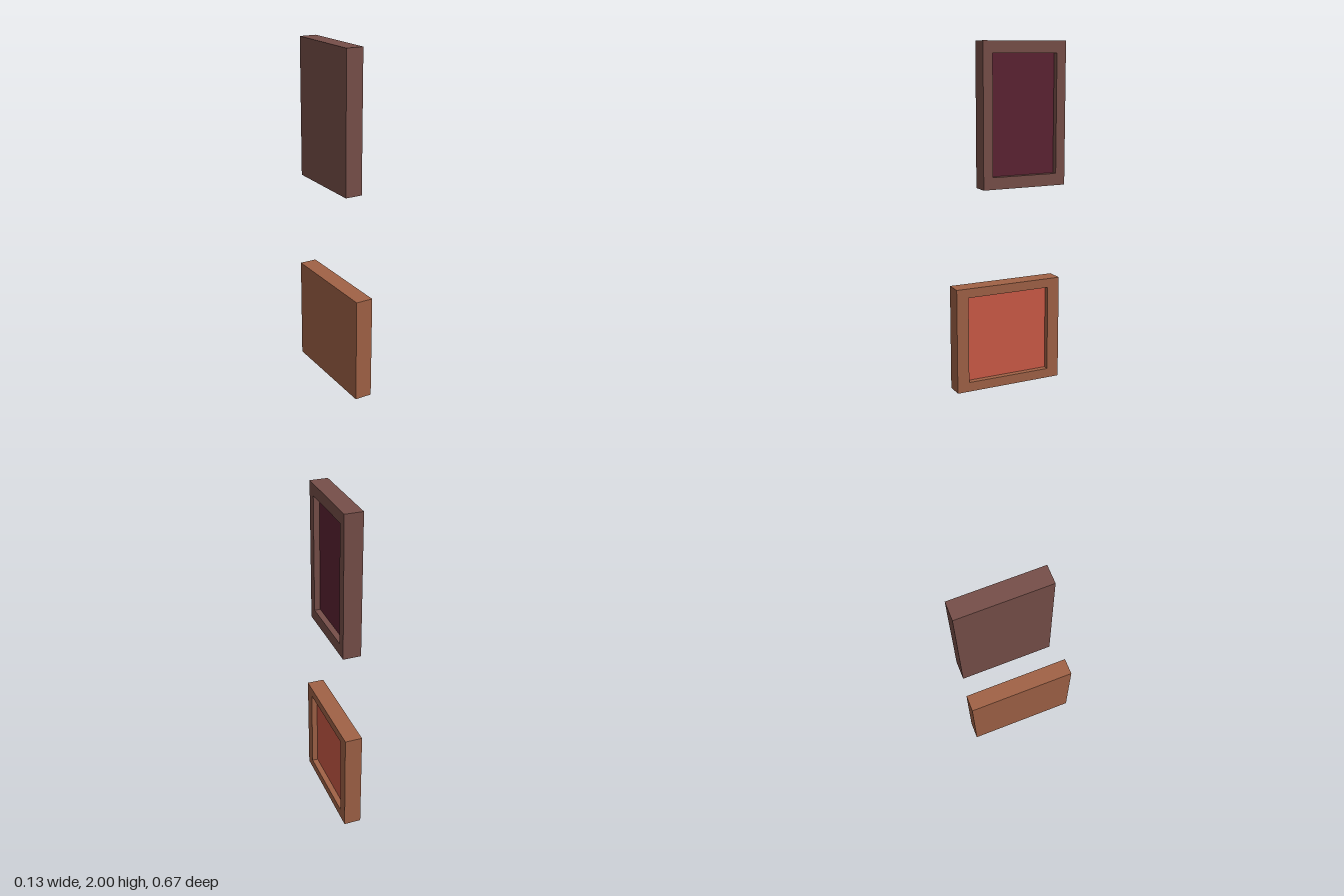
import * as THREE from 'three';

// Rectangle in the plane x, corners counter-clockwise as seen from +x
const ring = (x, { z0, z1, y0, y1 }) => [
  [x, y0, z1], [x, y0, z0], [x, y1, z0], [x, y1, z1],
];

// Build flat-shaded quads, each given as four counter-clockwise corners
function quadMesh(quads, color, name) {
  const points = quads.flatMap(([a, b, c, d]) => [a, b, c, a, c, d]).flat();
  const geometry = new THREE.BufferGeometry();
  geometry.setAttribute('position', new THREE.Float32BufferAttribute(points, 3));
  geometry.computeVertexNormals();
  const mesh = new THREE.Mesh(geometry, new THREE.MeshStandardMaterial({ color }));
  mesh.name = name;
  return mesh;
}

// A solid-backed frame facing +x with a coloured panel set into its recess
function framedPanel({ name, back, front, recess, outer, inner, frameColor, panelColor }) {
  const group = new THREE.Group();
  group.name = name;

  // Back edge, front edge, lip of the opening, bottom of the recess
  const rings = [
    ring(back, outer), ring(front, outer),
    ring(front, inner), ring(front - recess, inner),
  ];
  const quads = [[...rings[0]].reverse()]; // closed back
  for (let r = 0; r < 3; r++) {
    for (let i = 0; i < 4; i++) {
      const j = (i + 1) % 4;
      quads.push([rings[r][i], rings[r][j], rings[r + 1][j], rings[r + 1][i]]);
    }
  }
  group.add(quadMesh(quads, frameColor, name + 'Frame'));
  group.add(quadMesh([rings[3]], panelColor, name + 'Panel'));
  return group;
}

export function createModel() {
  const model = new THREE.Group();
  model.name = 'framedPanels';

  // Tall upper frame
  model.add(framedPanel({
    name: 'upper',
    back: -0.04, front: 0.063, recess: 0.034,
    outer: { z0: -0.336, z1: 0.176, y0: 1.181, y1: 2 },
    inner: { z0: -0.279, z1: 0.119, y0: 1.25, y1: 1.933 },
    frameColor: 0x774f49, panelColor: 0x5c2333,
  }));

  // Squarer lower frame
  model.add(framedPanel({
    name: 'lower',
    back: -0.063, front: 0.039, recess: 0.034,
    outer: { z0: -0.321, z1: 0.336, y0: 0, y1: 0.619 },
    inner: { z0: -0.247, z1: 0.264, y0: 0.056, y1: 0.565 },
    frameColor: 0xa06246, panelColor: 0xcc5a47,
  }));

  return model;
}
